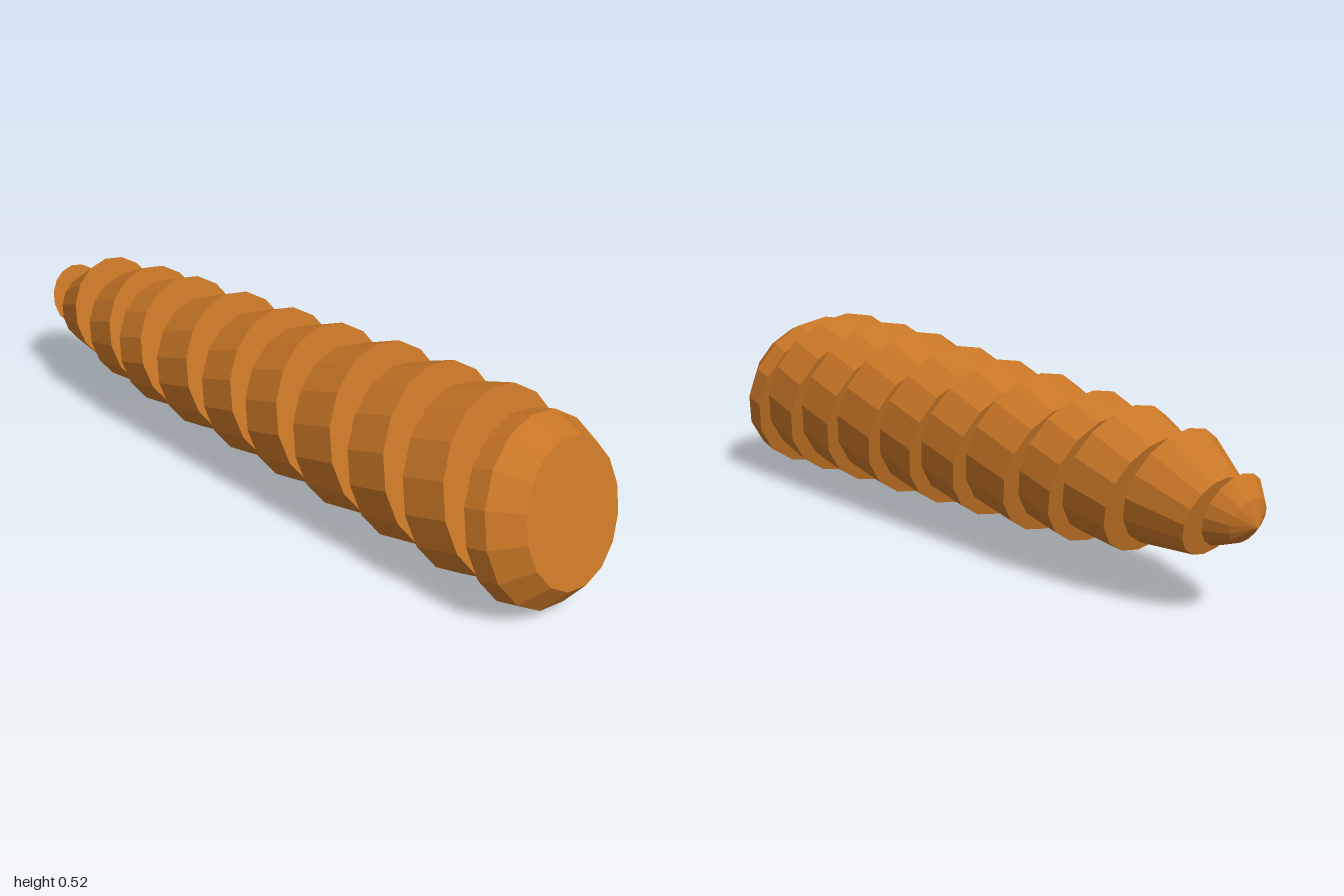
import * as THREE from 'three';

const TILT = THREE.MathUtils.degToRad(16.6);
const SIDES = 16;

// One closed faceted slice: rings are [x of ring centre, radius], along the tilted axis
function makeSlice(name, y, rings, material) {
  const x0 = rings[0][0];
  const along = (x) => (x - x0) / Math.cos(TILT);
  const profile = rings.map(([x, r]) => new THREE.Vector2(r, along(x)));
  const last = rings[rings.length - 1];
  if (rings[0][1] > 0) profile.unshift(new THREE.Vector2(0, 0));
  profile.push(new THREE.Vector2(0, along(last[0])));

  const geometry = new THREE.LatheGeometry(profile, SIDES).toNonIndexed();
  geometry.computeVertexNormals(); // flat facets

  const mesh = new THREE.Mesh(geometry, material);
  mesh.name = name;
  mesh.position.set(x0, y, 0);
  mesh.rotation.z = TILT - Math.PI / 2;
  return mesh;
}

export function createModel() {
  const group = new THREE.Group();
  group.name = 'slicedTaperedRoll';
  const orange = new THREE.MeshStandardMaterial({ color: 0xc87626 });
  orange.name = 'orange';

  // Pointed tip
  group.add(makeSlice('tip', 0.254, [[-1.0, 0], [-0.968, 0.06], [-0.92, 0.098]], orange));

  // Middle slices: [left x, left radius, right x, right radius, y of left centre]
  const slices = [
    [-0.869, 0.106, -0.73, 0.16, 0.249],
    [-0.666, 0.161, -0.543, 0.184, 0.253],
    [-0.495, 0.188, -0.39, 0.196, 0.257],
    [-0.326, 0.193, -0.187, 0.206, 0.248],
    [-0.128, 0.204, -0.003, 0.216, 0.25],
    [0.053, 0.215, 0.179, 0.226, 0.25],
    [0.238, 0.224, 0.377, 0.237, 0.247],
    [0.436, 0.235, 0.559, 0.244, 0.249],
    [0.623, 0.245, 0.746, 0.247, 0.248],
  ];
  slices.forEach(([xl, rl, xr, rr, y], i) => {
    group.add(makeSlice(`slice${i + 1}`, y, [[xl, rl], [xr, rr]], orange));
  });

  // Blunt end with a bevelled rim
  group.add(makeSlice('bluntEnd', 0.24, [[0.81, 0.246], [0.869, 0.247], [0.943, 0.19]], orange));

  return group;
}
